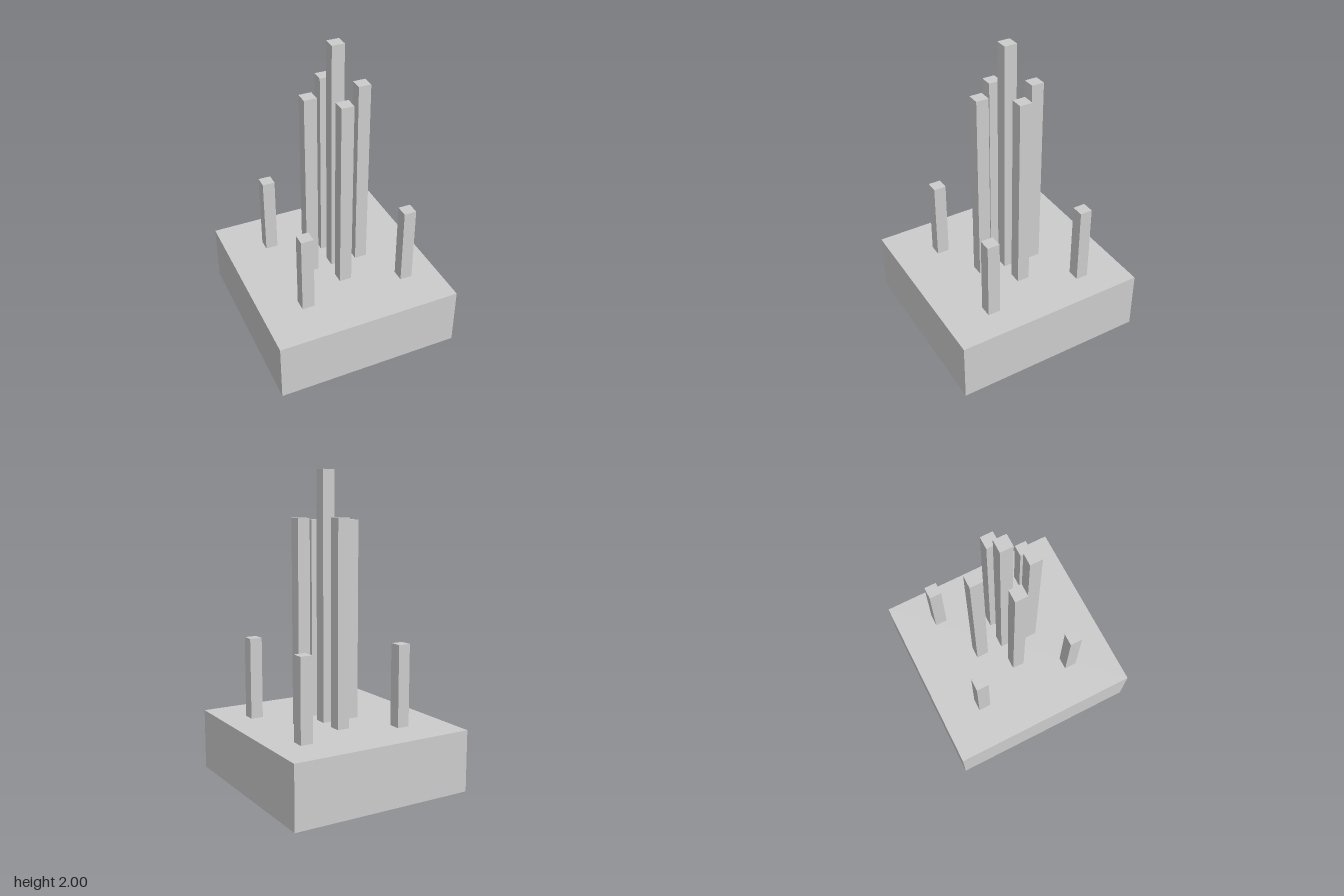
import * as THREE from 'three';

const BASE_TOP = 0.4;
const POST_WIDTH = 0.082;

export function createModel() {
  const model = new THREE.Group();
  model.name = 'postsOnBase';
  const material = new THREE.MeshStandardMaterial({ color: 0xcccccc, flatShading: true });

  // Box given by its footprint centre and its bottom and top heights
  function addBox(name, width, depth, x, z, bottom, top) {
    const mesh = new THREE.Mesh(new THREE.BoxGeometry(width, top - bottom, depth), material);
    mesh.name = name;
    mesh.position.set(x, (bottom + top) / 2, z);
    model.add(mesh);
  }

  // Base block
  addBox('base', 1.224, 1.278, 0, 0, 0, BASE_TOP);

  // Square posts: name, x, z, top height
  const posts = [
    ['centerPost', 0.034, 0, 2],
    ['innerPostRight', -0.144, 0.002, 1.69],
    ['innerPostLeft', 0.21, 0.002, 1.705],
    ['innerPostFront', 0.015, 0.178, 1.69],
    ['innerPostBack', 0.039, -0.186, 1.708],
    ['cornerPostBackRight', -0.307, -0.342, 0.93],
    ['cornerPostBackLeft', 0.388, -0.342, 0.93],
    ['cornerPostFrontRight', -0.312, 0.325, 0.93],
    ['cornerPostFrontLeft', 0.388, 0.325, 0.93],
  ];
  for (const [name, x, z, top] of posts) {
    addBox(name, POST_WIDTH, POST_WIDTH, x, z, BASE_TOP, top);
  }

  return model;
}
